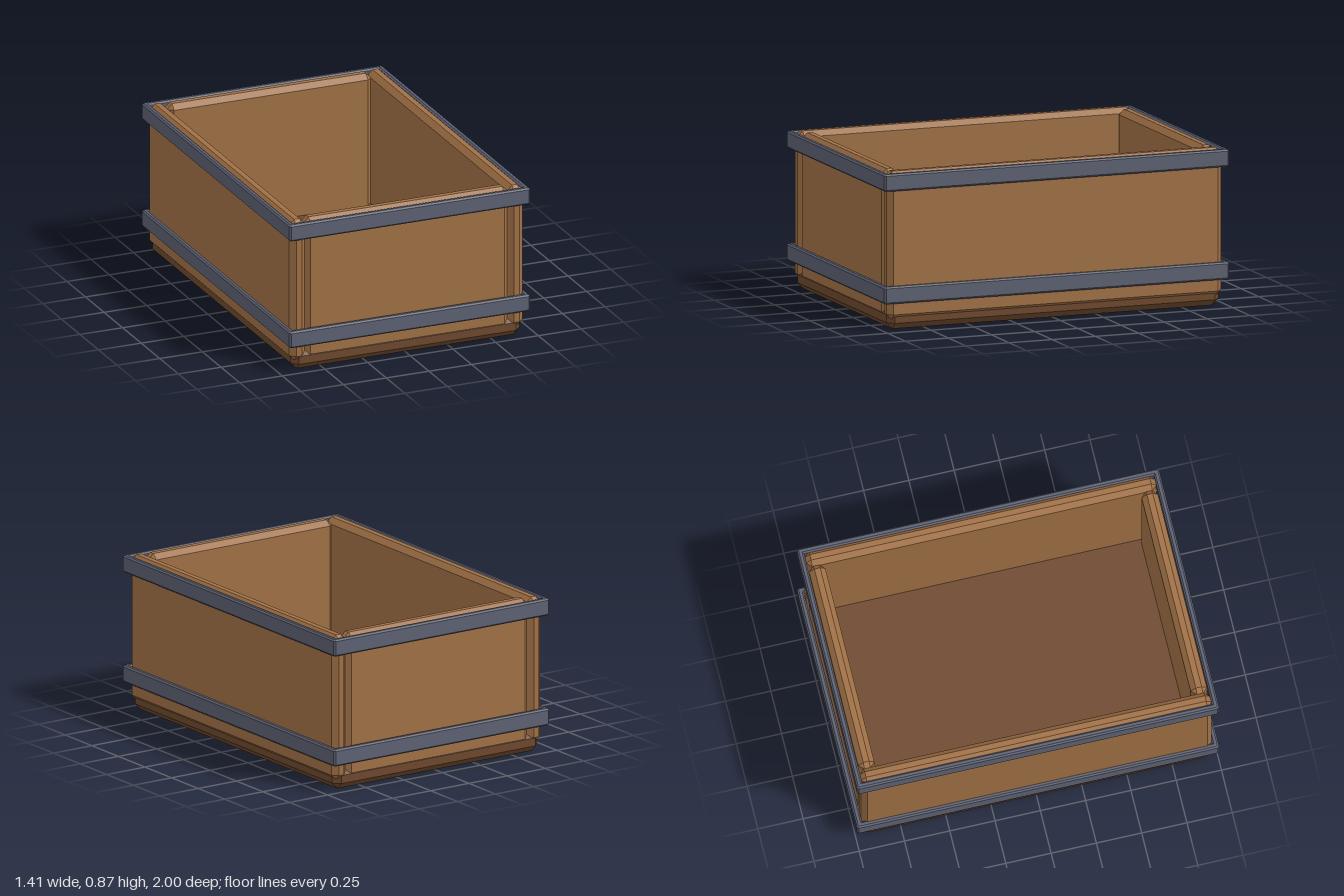
import * as THREE from 'three';
import { ConvexGeometry } from 'three/addons/geometries/ConvexGeometry.js';

const mat = (name, color) => {
  const m = new THREE.MeshStandardMaterial({ color });
  m.name = name;
  return m;
};

// Box with every edge cut at 45 degrees; sizes are outer extents
function chamferedBox(w, h, d, c) {
  const half = [w / 2, h / 2, d / 2];
  const points = [];
  for (const sx of [-1, 1]) for (const sy of [-1, 1]) for (const sz of [-1, 1]) {
    const s = [sx, sy, sz];
    for (let full = 0; full < 3; full++) {
      points.push(new THREE.Vector3(...half.map((v, i) => s[i] * (i === full ? v : v - c))));
    }
  }
  return new ConvexGeometry(points);
}

// Rectangle outline with cut corners
function cutRectangle(Type, x, z, c) {
  const p = [[x, -z + c], [x, z - c], [x - c, z], [-x + c, z],
    [-x, z - c], [-x, -z + c], [-x + c, -z], [x - c, -z]];
  return new Type(p.map(([a, b]) => new THREE.Vector2(a, b)));
}

// Hollow rectangular hoop, bevelled on its upper and lower edges
function hoop(x, z, thickness, height, bevel) {
  const shape = cutRectangle(THREE.Shape, x - bevel, z - bevel, bevel * 0.6);
  const inner = thickness - bevel;
  shape.holes.push(cutRectangle(THREE.Path, x - inner, z - inner, 0.002));
  const geo = new THREE.ExtrudeGeometry(shape, {
    depth: height - 2 * bevel, bevelEnabled: true,
    bevelSize: bevel, bevelThickness: bevel, bevelSegments: 1,
  });
  geo.translate(0, 0, bevel - height / 2);
  geo.rotateX(-Math.PI / 2);
  return geo;
}

export function createModel() {
  const group = new THREE.Group();
  group.name = 'woodenCrate';
  const wood = mat('wood', 0xa07045);
  const darkWood = mat('darkWood', 0x6e482d);
  const metal = mat('metal', 0x5d6172);

  const add = (name, geo, material, x, y, z) => {
    const mesh = new THREE.Mesh(geo, material);
    mesh.name = name;
    mesh.position.set(x, y, z);
    group.add(mesh);
  };

  // Base slab, whose top is the floor
  add('base', chamferedBox(1.34, 0.115, 1.924, 0.035), darkWood, 0, 0.0575, 0);

  // Long side walls and short end walls
  const sideWall = chamferedBox(0.09, 0.81, 1.936, 0.029);
  const endWall = chamferedBox(1.194, 0.81, 0.09, 0.029);
  for (const s of [1, -1]) {
    add(s > 0 ? 'leftWall' : 'rightWall', sideWall, wood, s * 0.638, 0.46, 0);
    add(s > 0 ? 'frontWall' : 'backWall', endWall, wood, 0, 0.46, s * 0.918);
  }

  // Metal bands around the walls
  const band = hoop(0.706, 1, 0.034, 0.095, 0.009);
  add('lowerBand', band, metal, 0, 0.195, 0);
  add('upperBand', band, metal, 0, 0.81, 0);

  return group;
}
